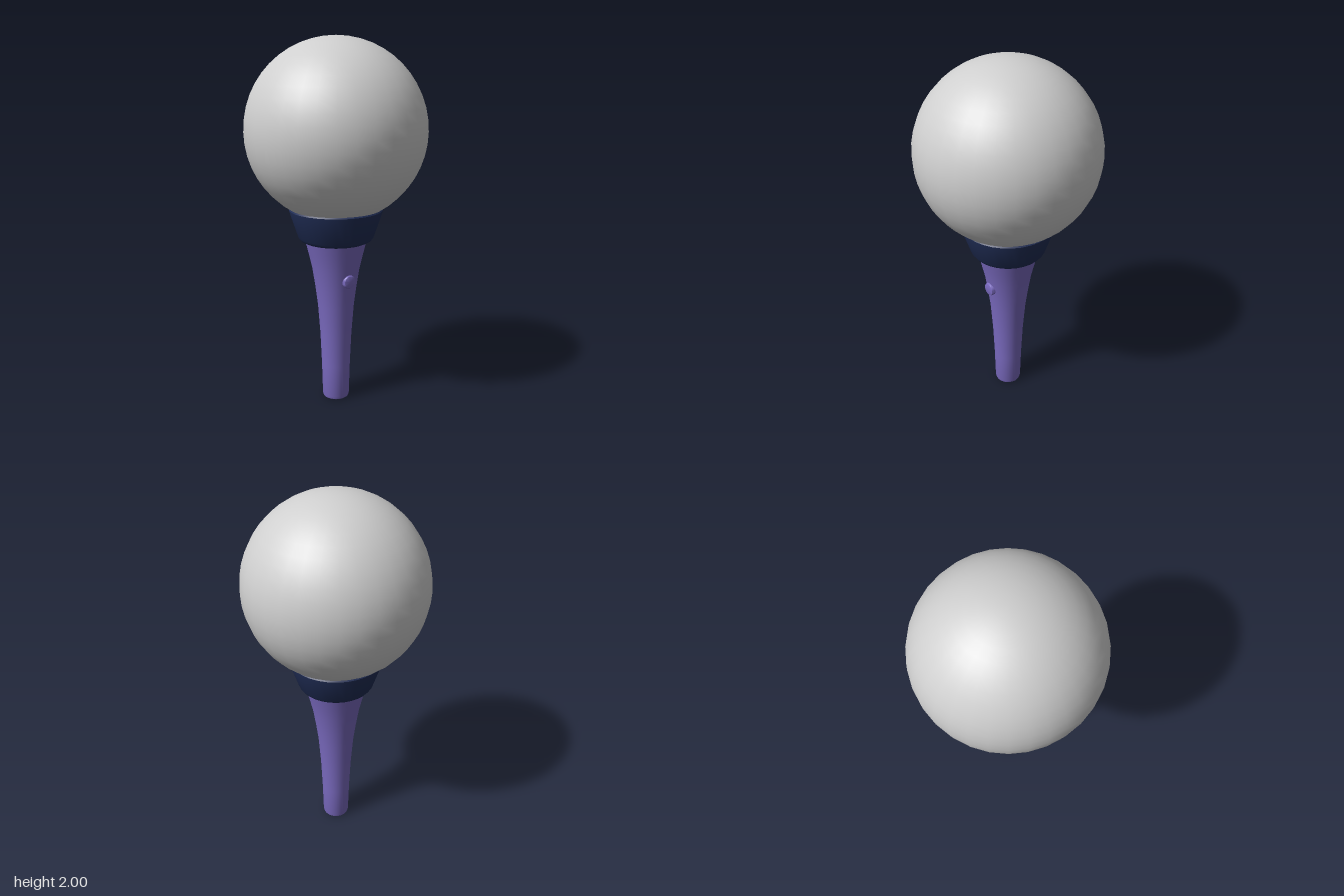
import * as THREE from 'three';
import { toCreasedNormals } from 'three/addons/utils/BufferGeometryUtils.js';

const material = (name, color) => {
  const m = new THREE.MeshStandardMaterial({ color });
  m.name = name;
  return m;
};

// Round part turned from [radius, height] pairs, bottom to top
const turned = (points, segments = 32) => toCreasedNormals(
  new THREE.LatheGeometry(points.map(([r, y]) => new THREE.Vector2(r, y)), segments), 0.6);

export function createModel() {
  const group = new THREE.Group();
  const grey = material('pale grey', 0xcfcfcf);
  const navy = material('navy', 0x202d55);
  const purple = material('purple', 0x7a6abf);

  const add = (name, geometry, mat) => {
    const mesh = new THREE.Mesh(geometry, mat);
    mesh.name = name;
    group.add(mesh);
    return mesh;
  };

  // Large globe resting in the collar
  add('globe', new THREE.SphereGeometry(0.486, 32, 24), grey).position.y = 1.514;

  // Flared collar with bevelled rims and a shallow cup inside
  add('collar', turned([
    [0, 0.915], [0.175, 0.915], [0.195, 0.925], [0.206, 0.94], [0.253, 1.082],
    [0.254, 1.09], [0.248, 1.097], [0.238, 1.095], [0.215, 1.05], [0, 1.05],
  ]), navy);

  // Tapering handle with a softened foot
  add('handle', turned([
    [0, 0], [0.062, 0], [0.07, 0.006], [0.074, 0.02], [0.079, 0.2], [0.087, 0.38],
    [0.1, 0.55], [0.113, 0.65], [0.13, 0.76], [0.15, 0.845], [0.17, 0.925], [0, 0.925],
  ]), purple);

  // Round push button on the front of the handle
  const button = add('button', turned([
    [0, 0], [0.037, 0], [0.037, 0.042], [0.034, 0.047], [0.029, 0.049], [0, 0.049],
  ], 24), purple);
  button.rotation.x = Math.PI / 2;
  button.position.set(0, 0.71, 0.089);

  return group;
}
